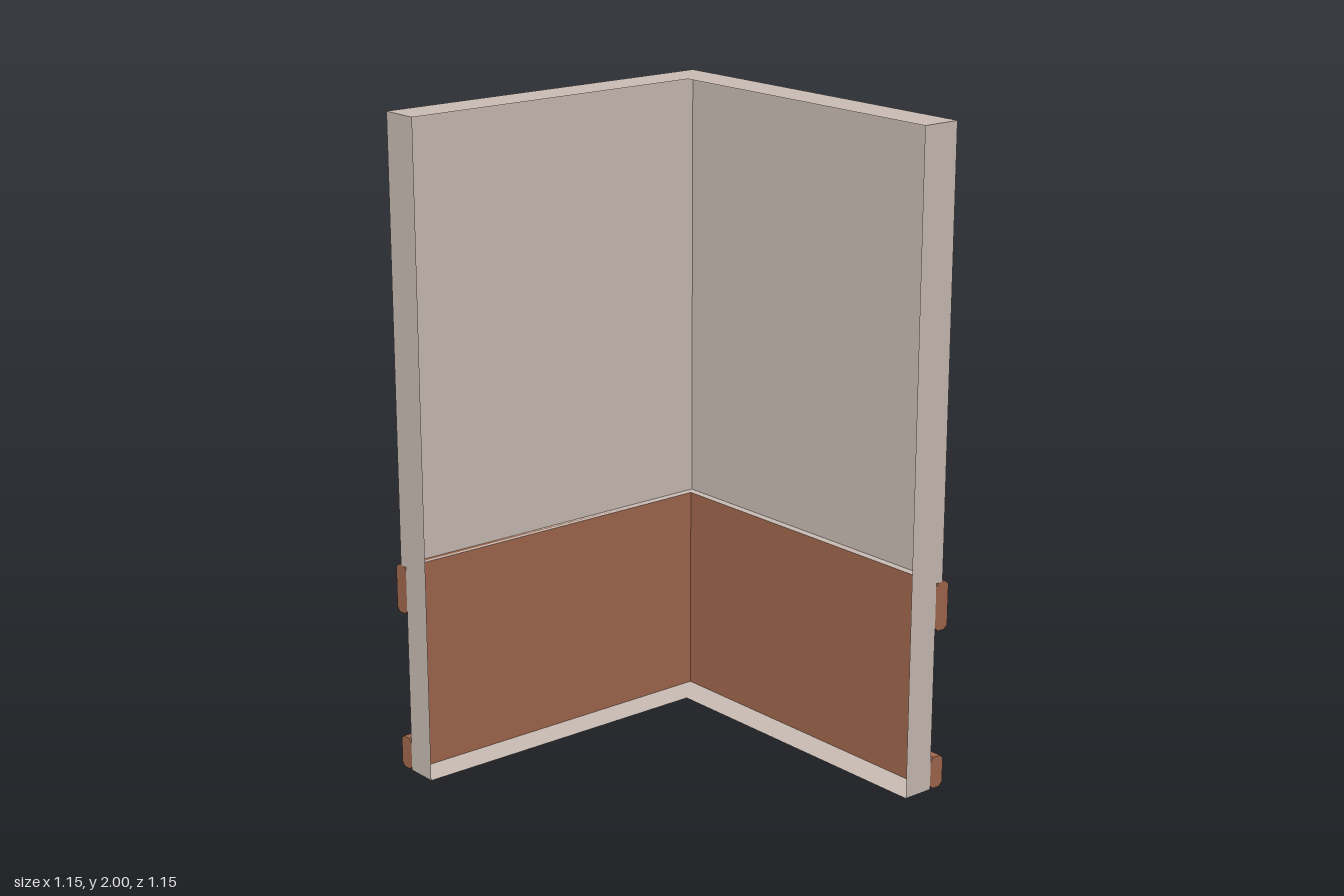
import * as THREE from 'three';

const END = 0.575;          // free end of both walls
const OUT = 0.55, BACK = 0.525, IN = 0.425; // distances of wall layers from the centre

// Faceted sheet between two rows of points
function sheet(rowA, rowB) {
  const pos = [];
  for (let i = 0; i < rowA.length - 1; i++) {
    const a = rowA[i], b = rowA[i + 1], c = rowB[i + 1], d = rowB[i];
    pos.push(...a, ...d, ...b, ...b, ...d, ...c);
  }
  const g = new THREE.BufferGeometry();
  g.setAttribute('position', new THREE.Float32BufferAttribute(pos, 3));
  g.computeVertexNormals();
  return g;
}

// L-shaped mitred path at distance d and height y
const corner = (d, y) => [[END, y, -d], [-d, y, -d], [-d, y, END]];

export function createModel() {
  const plaster = new THREE.MeshStandardMaterial({ color: 0xc9bcb4, side: THREE.DoubleSide });
  plaster.name = 'plaster';
  const wood = new THREE.MeshStandardMaterial({ color: 0xa0674d, side: THREE.DoubleSide });
  wood.name = 'wood';

  const model = new THREE.Group();
  model.name = 'cornerWall';

  function add(parent, geometry, material, name) {
    const m = new THREE.Mesh(geometry, material);
    m.name = name;
    parent.add(m);
    return m;
  }

  // Sweep a [distance, height] profile around the corner
  function sweep(parent, profile, material, name) {
    for (let i = 0; i < profile.length - 1; i++) {
      add(parent, sheet(corner(...profile[i]), corner(...profile[i + 1])), material, name);
    }
  }

  // Close both free ends with the profile outline
  function caps(parent, profile, material, name) {
    const shape = new THREE.Shape(profile.map(([d, y]) => new THREE.Vector2(-d, y)));
    const left = add(parent, new THREE.ShapeGeometry(shape), material, name + 'Left');
    left.position.z = END;
    const back = add(parent, new THREE.ShapeGeometry(shape), material, name + 'Back');
    back.rotation.y = Math.PI / 2;
    back.scale.x = -1;
    back.position.x = END;
  }

  // Hollow plaster wall, open on the room side
  const wall = new THREE.Group();
  wall.name = 'wall';
  model.add(wall);
  sweep(wall, [[IN, 2], [OUT, 2], [OUT, 0.65], [BACK, 0.65]], plaster, 'wallShell');
  sweep(wall, [[BACK, 0], [IN, 0]], plaster, 'wallBase');
  caps(wall, [[IN, 0], [IN, 2], [OUT, 2], [OUT, 0.65], [BACK, 0.65], [BACK, 0]], plaster, 'wallEnd');

  // Wooden backing of the wainscot
  sweep(model, [[BACK, 0], [BACK, 0.65]], wood, 'wainscotBacking');

  // Chamfered rails at the top and bottom of the wainscot
  function rail(y0, y1, name) {
    const g = new THREE.Group(), c = 0.012, o = 0.575;
    g.name = name;
    const p = [
      [BACK, y0 + c], [BACK + c, y0], [o - c, y0], [o, y0 + c],
      [o, y1 - c], [o - c, y1], [BACK + c, y1], [BACK, y1 - c],
    ];
    sweep(g, [...p, p[0]], wood, name + 'Side');
    caps(g, p, wood, name + 'End');
    model.add(g);
  }
  rail(0, 0.1, 'bottomRail');
  rail(0.5, 0.65, 'topRail');

  // Slanted planks on both walls, with a square post at the corner
  const plan = [], count = 7, step = 1 / count, bevel = 0.025;
  for (let i = 0; i < count; i++) {
    const x = END - i * step;
    plan.push([x, -BACK], [x - bevel, -OUT]);
  }
  plan.push([-IN, -BACK], [-IN - bevel, -OUT], [-OUT, -OUT], [-OUT, -IN - bevel]);
  for (let i = 0; i < count; i++) {
    const z = -IN + i * step;
    plan.push([-BACK, z], [-OUT, z + bevel]);
  }
  plan.push([-BACK, END]);
  const row = (y) => plan.map(([x, z]) => [x, y, z]);
  add(model, sheet(row(0.1), row(0.5)), wood, 'planks');

  return model;
}
